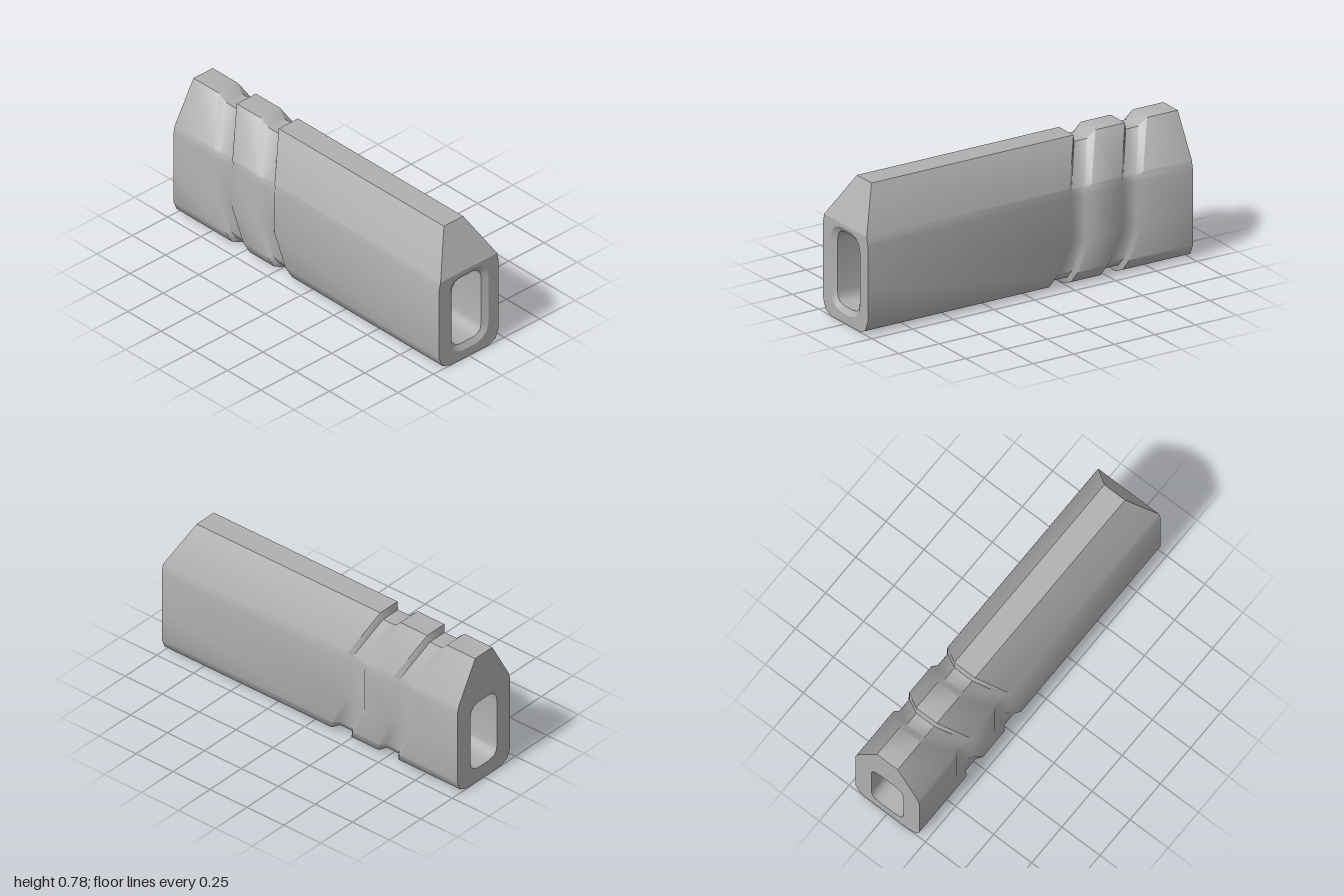
import * as THREE from 'three';
import { toCreasedNormals } from 'three/addons/utils/BufferGeometryUtils.js';

// Half profiles as [z, y], running from the top down the +z side
const OUTER = [[0.068, 0.776], [0.2, 0.543], [0.205, 0.52], [0.21, 0.5], [0.21, 0.25], [0.21, 0.077], [0.187, 0.022], [0.135, 0]];
const FLOOR = [[0.058, 0.735], [0.18, 0.53], [0.185, 0.51], [0.19, 0.49], [0.19, 0.25], [0.19, 0.085], [0.17, 0.046], [0.125, 0.031]];
const BORE = [[0.045, 0.492], [0.08, 0.483], [0.099, 0.457], [0.105, 0.425], [0.105, 0.145], [0.099, 0.114], [0.08, 0.093], [0.045, 0.084]];
const MOUTH = [[0.046, 0.522], [0.092, 0.51], [0.127, 0.475], [0.137, 0.43], [0.137, 0.145], [0.127, 0.1], [0.092, 0.066], [0.046, 0.053]];

const mirrored = half => [...half, ...[...half].reverse().map(([z, y]) => [-z, y])];

// Grooves lean at the top and bottom and run straight in the middle
const lean = y => -0.47 * (Math.max(0, y - 0.52) + Math.min(0, y - 0.25));
// The front end slopes back above the shoulder
const nose = y => 1 - 0.495 * Math.max(0, y - 0.543);

// Skin a list of rings; each ring is { half, x(y) }
function loft(rings, inward = false) {
  const pos = [], index = [];
  const n = rings[0].half.length * 2;
  for (const { half, x } of rings) for (const [z, y] of mirrored(half)) pos.push(x(y), y, z);
  for (let i = 0; i < rings.length - 1; i++) {
    for (let k = 0; k < n; k++) {
      const a = i * n + k, b = i * n + (k + 1) % n, c = b + n, d = a + n;
      if (inward) index.push(a, c, b, a, d, c);
      else index.push(a, b, c, a, c, d);
    }
  }
  const g = new THREE.BufferGeometry();
  g.setAttribute('position', new THREE.Float32BufferAttribute(pos, 3));
  g.setIndex(index);
  return toCreasedNormals(g, 0.8);
}

// Flat end face facing +x (side 1) or -x (side -1)
function endFace(half, holeHalf, side) {
  const toPoints = h => mirrored(h).map(([z, y]) => new THREE.Vector2(z, y));
  const shape = new THREE.Shape(toPoints(half));
  if (holeHalf) shape.holes.push(new THREE.Path(toPoints(holeHalf)));
  return new THREE.ShapeGeometry(shape).rotateY(side * Math.PI / 2);
}

export function createModel() {
  const grey = new THREE.MeshStandardMaterial({ color: 0xb0b0b0 });
  grey.name = 'grey';
  const group = new THREE.Group();
  group.name = 'slottedBar';
  const add = (name, geometry) => {
    const mesh = new THREE.Mesh(geometry, grey);
    mesh.name = name;
    group.add(mesh);
    return mesh;
  };

  // Outer body with two slanted grooves
  const rings = [{ half: OUTER, x: () => -1 }];
  for (const start of [-0.69, -0.373]) {
    for (const [half, dx] of [[OUTER, 0], [FLOOR, 0.025], [FLOOR, 0.105], [OUTER, 0.135]]) {
      rings.push({ half, x: y => start + dx + lean(y) });
    }
  }
  rings.push({ half: OUTER, x: nose });
  add('body', loft(rings));

  // Through bore with a chamfered mouth
  add('bore', loft([
    { half: BORE, x: () => -1 },
    { half: BORE, x: () => 0.98 },
    { half: MOUTH, x: () => 1 },
  ], true));

  // End faces
  add('rearFace', endFace(OUTER, BORE, -1)).position.x = -1;
  add('muzzleFace', endFace(OUTER.slice(1), MOUTH, 1)).position.x = 1;

  // Sloped face above the mouth
  const slope = endFace(OUTER.slice(0, 2), null, 1);
  const p = slope.attributes.position;
  for (let i = 0; i < p.count; i++) p.setX(i, nose(p.getY(i)));
  slope.computeVertexNormals();
  add('noseSlope', slope);

  return group;
}
